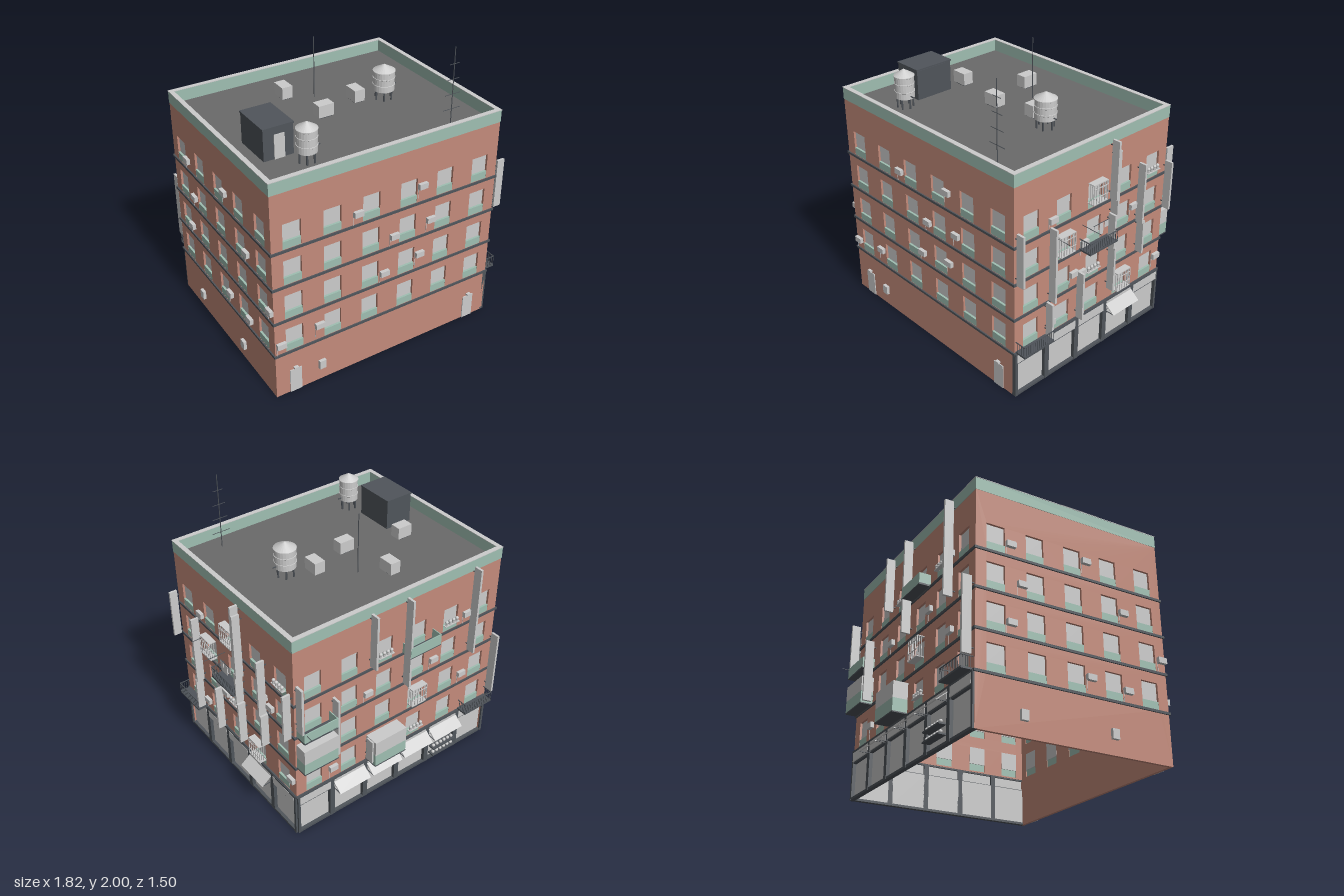
import * as THREE from 'three';

const mat = (color) => new THREE.MeshStandardMaterial({ color, side: THREE.DoubleSide });
const GREY = mat(0xcccccc), BRICK = mat(0xc48b7b), GREEN = mat(0x9fbfb2), DARK = mat(0x50555b), ROOF = mat(0x6a6a6a);

const CX = -0.067, CZ = 0.053, W = 1.635, D = 1.335; // building centre and footprint
const PITCH = [0.333, 0.272, 0.267];                 // unused base, wide side, narrow side
const FLOORS = [0.329, 0.581, 0.834, 1.087];         // storey lines
const ROOF_Y = 1.48, TOP = 1.565;

function add(parent, name, geo, material, x = 0, y = 0, z = 0) {
  const m = new THREE.Mesh(geo, material);
  m.name = name;
  m.position.set(x, y, z);
  parent.add(m);
  return m;
}
const box = (p, name, m, w, h, d, x, y, z) => add(p, name, new THREE.BoxGeometry(w, h, d), m, x, y, z);
const cyl = (p, name, m, r, h, x, y, z, n = 6) => add(p, name, new THREE.CylinderGeometry(r, r, h, n), m, x, y, z);
function part(parent, name, x = 0, y = 0, z = 0) {
  const g = new THREE.Group();
  g.name = name;
  g.position.set(x, y, z);
  parent.add(g);
  return g;
}
function rect(P, x0, y0, x1, y1) {
  return new P().moveTo(x0, y0).lineTo(x1, y0).lineTo(x1, y1).lineTo(x0, y1).closePath();
}

// Rectangular ring running round the whole building
function ring(parent, name, m, y, h, out, inn) {
  const s = rect(THREE.Shape, -W / 2 - out, -D / 2 - out, W / 2 + out, D / 2 + out);
  s.holes.push(rect(THREE.Path, -W / 2 + inn, -D / 2 + inn, W / 2 - inn, D / 2 - inn));
  const geo = new THREE.ExtrudeGeometry(s, { depth: h, bevelEnabled: false }).rotateX(-Math.PI / 2);
  add(parent, name, geo, m, CX, y, CZ);
}

// Wall with real window openings, recessed panes and panels below them.
// Local axes: x along the wall, y up, z outwards from the wall face.
function wall(parent, name, len, dist, angle, cols, pitch, base) {
  const g = part(parent, name, CX + Math.sin(angle) * dist, 0, CZ + Math.cos(angle) * dist);
  g.rotation.y = angle;
  const s = rect(THREE.Shape, -len / 2, base, len / 2, ROOF_Y);
  for (const f of FLOORS) for (let i = 0; i < cols; i++) {
    const x = (i - (cols - 1) / 2) * pitch;
    s.holes.push(rect(THREE.Path, x - 0.061, f + 0.01, x + 0.061, f + 0.183));
    box(g, 'windowPane', GREY, 0.122, 0.122, 0.006, x, f + 0.122, -0.018);
    box(g, 'windowPanel', GREEN, 0.122, 0.056, 0.014, x, f + 0.034, -0.008);
  }
  add(g, 'brickWall', new THREE.ExtrudeGeometry(s, { depth: 0.02, bevelEnabled: false }), BRICK, 0, 0, -0.02);
  return g;
}

function airConditioner(g, x, y) {
  const a = part(g, 'airConditioner', x, y, 0);
  box(a, 'casing', GREY, 0.062, 0.038, 0.024, 0, 0, 0.013);
  box(a, 'drainPipe', GREY, 0.003, 0.07, 0.003, -0.029, -0.05, 0.004);
}

// Row of shop bays with dark pillars, panes and name boards
function shopFront(g, cols, pitch) {
  const len = cols * pitch;
  box(g, 'plinth', DARK, len, 0.016, 0.03, 0, 0.008, -0.005);
  box(g, 'transom', DARK, len, 0.012, 0.02, 0, 0.25, -0.002);
  box(g, 'lintel', DARK, len, 0.014, 0.03, 0, 0.325, -0.002);
  for (let i = 0; i <= cols; i++) {
    const edge = i === 0 ? 0.009 : i === cols ? -0.009 : 0;
    box(g, 'pillar', DARK, edge ? 0.018 : 0.037, 0.33, 0.03, (i - cols / 2) * pitch + edge, 0.165, -0.003);
    if (i === cols) break;
    const x = (i - (cols - 1) / 2) * pitch;
    box(g, 'shopPane', GREY, pitch - 0.03, 0.235, 0.006, x, 0.133, -0.015);
    box(g, 'shopBoard', GREY, pitch - 0.03, 0.062, 0.02, x, 0.287, 0.004);
  }
}

function awning(g, x) {
  const a = part(g, 'awning', x, 0, 0);
  const slope = box(a, 'awningSheet', GREY, 0.25, 0.005, 0.1, 0, 0.272, 0.043);
  slope.rotation.x = 0.68;
  for (const s of [-1, 1]) box(a, 'strut', DARK, 0.004, 0.004, 0.08, s * 0.122, 0.243, 0.04);
}

// Balcony: floor slab with either a bar railing or solid panels
function balcony(g, x, y, d, solid) {
  const b = part(g, 'balcony', x, y, 0), w = 0.25, h = 0.075;
  box(b, 'slab', DARK, w, 0.012, d, 0, 0, d / 2);
  if (solid) {
    box(b, 'frontPanel', GREEN, w, h, 0.006, 0, h / 2, d - 0.003);
    for (const s of [-1, 1]) box(b, 'sidePanel', GREEN, 0.006, h, d, s * (w / 2 - 0.003), h / 2, d / 2);
    return;
  }
  box(b, 'topRail', DARK, w, 0.005, 0.005, 0, h, d - 0.003);
  for (let i = 0; i <= 14; i++) box(b, 'bar', DARK, 0.003, h, 0.003, (i / 14 - 0.5) * (w - 0.004), h / 2, d - 0.003);
  for (const s of [-1, 1]) {
    box(b, 'sideRail', DARK, 0.005, 0.005, d, s * (w / 2 - 0.003), h, d / 2);
    for (let i = 1; i < 5; i++) box(b, 'bar', DARK, 0.003, h, 0.003, s * (w / 2 - 0.003), h / 2, d * i / 5);
  }
}

// Window cage with a lid, floor and bars
function cage(g, x, y) {
  const c = part(g, 'windowCage', x, y, 0), w = 0.125, h = 0.135, d = 0.05;
  for (const k of [0, h]) box(c, 'cagePlate', GREY, w, 0.006, d, 0, k, d / 2);
  for (const k of [0.35, 0.8]) box(c, 'crossBar', GREY, w, 0.004, 0.004, 0, h * k, d);
  for (let i = 0; i <= 5; i++) box(c, 'cageBar', GREY, 0.005, h, 0.005, (i / 5 - 0.5) * (w - 0.005), h / 2, d - 0.002);
  for (const s of [-1, 1]) for (const k of [0.02, 0.035]) box(c, 'cageBar', GREY, 0.004, h, 0.004, s * w / 2, h / 2, k);
}

function closedBay(g, x, y, h, d) {
  const b = part(g, 'closedBay', x, y, 0), w = 0.255;
  box(b, 'bayBase', GREEN, w, h * 0.45, d, 0, h * 0.225, d / 2);
  box(b, 'bayWindow', GREY, w, h * 0.55, d, 0, h * 0.725, d / 2);
  box(b, 'bayFloor', DARK, w + 0.004, 0.008, d + 0.002, 0, 0, d / 2);
}

function flowerPots(g, x, y) {
  const p = part(g, 'flowerPots', x, y, 0);
  box(p, 'shelf', GREY, 0.12, 0.004, 0.026, 0, 0, 0.013);
  for (let i = 0; i < 4; i++) {
    cyl(p, 'pot', GREY, 0.009, 0.018, (i - 1.5) * 0.029, 0.011, 0.014, 8);
    add(p, 'plant', new THREE.SphereGeometry(0.012, 8, 6), GREY, (i - 1.5) * 0.029, 0.026, 0.014);
  }
}

// Upright blade board held off the wall
function bladeBoard(g, x, y0, y1, d = 0.055) {
  const b = part(g, 'bladeBoard', x, 0, 0);
  box(b, 'board', GREY, 0.016, y1 - y0, d, 0, (y0 + y1) / 2, 0.018 + d / 2);
  for (const y of [y0 + 0.04, y1 - 0.04]) box(b, 'bracket', DARK, 0.006, 0.006, 0.02, 0, y, 0.01);
}

function pole(g, x, y, z0, z1) {
  box(g, 'dryingPole', DARK, 0.003, 0.003, z1 - z0, x, y, (z0 + z1) / 2);
}

// Water tank on legs with hoops and a conical lid
function waterTank(g, x, z, r, y0, y1, tip) {
  const t = part(g, 'waterTank', x, 0, z), h = y1 - y0;
  const pts = [[0, y0], [r, y0]];
  for (const k of [0.3, 0.65, 0.97]) {
    const y = y0 + h * k;
    pts.push([r, y - 0.006], [r + 0.003, y - 0.004], [r + 0.003, y + 0.003], [r, y + 0.004]);
  }
  pts.push([r + 0.004, y1], [0, tip]);
  add(t, 'tankBody', new THREE.LatheGeometry(pts.map(([a, b]) => new THREE.Vector2(a, b)), 24), GREY).material =
    new THREE.MeshStandardMaterial({ color: 0xcccccc, side: THREE.DoubleSide, flatShading: true });
  for (let i = 0; i < 6; i++) {
    const a = i * Math.PI / 3;
    cyl(t, 'tankLeg', DARK, 0.006, y0 - ROOF_Y, Math.cos(a) * r * 0.8, (y0 + ROOF_Y) / 2, Math.sin(a) * r * 0.8);
  }
  box(t, 'outlet', DARK, 0.03, 0.006, 0.006, r + 0.01, y0 + 0.02, 0);
}

export function createModel() {
  const model = new THREE.Group();
  model.name = 'apartmentBlock';

  // Walls, storey bands and roof edge
  const [, wide, narrow] = PITCH, H = Math.PI / 2;
  const front = wall(model, 'frontWall', W, D / 2, 0, 6, wide, 0);
  const side = wall(model, 'shopSideWall', D, W / 2, H, 5, narrow, 0.329);
  const back = wall(model, 'backWall', W, D / 2, Math.PI, 6, wide, 0.329);
  const plain = wall(model, 'plainSideWall', D, W / 2, -H, 5, narrow, 0);
  for (const f of FLOORS) ring(model, 'storeyBand', DARK, f - 0.008, 0.016, 0.009, 0.005);
  ring(model, 'parapet', GREEN, ROOF_Y, TOP - ROOF_Y - 0.004, 0.002, 0.025);
  ring(model, 'parapetCap', GREY, TOP - 0.004, 0.004, 0.004, 0.028);
  box(model, 'roofDeck', ROOF, W - 0.01, 0.006, D - 0.01, CX, ROOF_Y - 0.003, CZ);

  // Front wall fittings
  for (const [x, y] of [[-0.303, 1.172], [0.165, 1.212], [-0.035, 0.913], [0.24, 0.94], [-0.102, 0.658],
    [0.165, 0.704], [-0.845, 0.41], [-0.575, 0.451]]) airConditioner(front, x - CX, y);
  for (const x of [-0.747, 0.61]) {
    box(front, 'door', GREY, 0.083, 0.175, 0.012, x - CX, 0.088, 0);
    box(front, 'doorLamp', GREY, 0.03, 0.012, 0.02, x - CX, 0.19, 0.01);
  }
  box(front, 'meterBox', GREY, 0.047, 0.062, 0.022, -0.558 - CX, 0.128, 0.01);

  // Plain side fittings
  for (const [z, y] of [[-0.385, 1.165], [-0.31, 0.92], [0.15, 1.205], [0.415, 0.92], [-0.385, 0.66], [0.15, 0.44],
    [0.69, 0.665], [0.415, 0.41]]) airConditioner(plain, z - CZ, y);
  for (const z of [-0.31, 0.3]) box(plain, 'meterBox', GREY, 0.047, 0.062, 0.022, z - CZ, 0.125, 0.01);

  // Shop side fittings (position given as z)
  const S = (z) => CZ - z;
  shopFront(side, 5, narrow);
  awning(side, S(-0.214));
  balcony(side, S(0.585), 0.337, 0.08, false);
  balcony(side, S(0.053), 0.84, 0.095, false);
  for (const [z, y] of [[0.055, 1.143], [0.323, 0.89], [-0.212, 0.385]]) cage(side, S(z), y);
  for (const [z, y] of [[0.42, 1.155], [-0.305, 0.96], [-0.375, 0.913], [0.143, 0.878], [0.23, 0.69], [0.16, 0.666],
    [0.423, 0.419], [-0.575, 0.46]]) airConditioner(side, S(z), y);
  for (const [z, a, b] of [[0.71, 0.84, 1.19], [0.445, 0.605, 1.12], [0.465, 0.355, 0.6], [0.2, 0.355, 0.7],
    [-0.072, 1.115, 1.515], [-0.085, 0.98, 1.455], [-0.07, 0.77, 1.01], [-0.082, 0.44, 0.765], [-0.335, 0.84, 1.265],
    [-0.35, 0.61, 0.855], [-0.6, 0.84, 1.185]]) bladeBoard(side, S(z), a, b);
  flowerPots(side, S(-0.475), 1.15);
  flowerPots(side, S(0.055), 0.643);
  pole(side, S(0.155), 1.005, 0, 0.155);
  pole(side, S(0.375), 1.005, 0, 0.11);
  box(side, 'laundryLine', DARK, 0.14, 0.003, 0.003, S(0.05), 1.005, 0.06);
  [0.05, 0.08, 0.045].forEach((h, i) => box(side, 'laundry', GREY, 0.034, h, 0.003, S(0.095 - i * 0.045), 1.003 - h / 2, 0.06));

  // Back fittings (position given as x)
  const B = (x) => CX - x;
  shopFront(back, 6, wide);
  for (const x of [0.341, 0.069, -0.203, -0.475]) awning(back, B(x));
  balcony(back, B(-0.747), 0.337, 0.08, false);
  balcony(back, B(0.613), 0.84, 0.085, true);
  balcony(back, B(-0.203), 1.094, 0.08, true);
  closedBay(back, B(0.613), 0.585, 0.19, 0.085);
  closedBay(back, B(0.069), 0.345, 0.2, 0.1);
  cage(back, B(-0.203), 0.64);
  for (const [x, y] of [[-0.61, 1.17], [0.2, 0.91], [-0.34, 0.92], [0.47, 0.43], [-0.61, 0.67]]) airConditioner(back, B(x), y);
  for (const [x, a, b] of [[0.74, 0.91, 1.25], [0.19, 1.13, 1.52], [-0.085, 0.86, 1.52], [0.475, 0.6, 1.03],
    [-0.64, 0.87, 1.52], [-0.87, 0.42, 0.9], [0.2, 0.36, 0.54]]) bladeBoard(back, B(x), a, b, 0.06);
  for (const [x, y] of [[0.069, 1.15], [-0.475, 1.15], [-0.22, 0.392]]) flowerPots(back, B(x), y);
  pole(back, B(0.72), 0.9, 0, 0.137);
  const stall = part(back, 'marketStall', B(-0.475), 0, 0);
  for (const y of [0.06, 0.12]) {
    box(stall, 'stallShelf', DARK, 0.2, 0.01, 0.05, 0, y, 0.025);
    for (let i = 0; i < 6; i++) add(stall, 'fruit', new THREE.SphereGeometry(0.013, 8, 6), GREY, (i - 2.5) * 0.033, y + 0.016, 0.028);
  }

  // Rooftop: stair house, plant boxes, tanks and aerials
  box(model, 'stairHouse', DARK, 0.2, 0.2, 0.275, -0.63, 1.58, 0.243);
  box(model, 'stairHouseRoof', DARK, 0.208, 0.01, 0.285, -0.63, 1.688, 0.243);
  box(model, 'stairHouseDoor', GREY, 0.07, 0.16, 0.008, -0.625, 1.56, 0.382);
  for (const [x, z, w, d] of [[-0.218, -0.3, 0.075, 0.11], [-0.55, -0.02, 0.11, 0.075], [-0.135, 0.065, 0.11, 0.075],
    [0.155, -0.015, 0.075, 0.11]]) {
    const u = part(model, 'roofPlantUnit', x, ROOF_Y, z);
    box(u, 'unitCasing', GREY, w, 0.082, d, 0, 0.049, 0);
    box(u, 'unitFoot', DARK, w * 0.8, 0.01, d * 0.8, 0, 0.005, 0);
  }
  waterTank(model, -0.51, 0.5, 0.063, 1.55, 1.7, 1.742);
  waterTank(model, 0.325, 0.06, 0.07, 1.545, 1.68, 1.722);
  cyl(model, 'shortAerial', DARK, 0.003, 1.9 - ROOF_Y, -0.05, (1.9 + ROOF_Y) / 2, -0.19);
  cyl(model, 'tallAerial', DARK, 0.003, 2 - ROOF_Y, 0.465, (2 + ROOF_Y) / 2, 0.585);
  for (const y of [1.59, 1.69, 1.79, 1.89]) box(model, 'aerialBar', DARK, 0.13 - (y - 1.59) * 0.2, 0.003, 0.003, 0.465, y, 0.585);
  return model;
}
